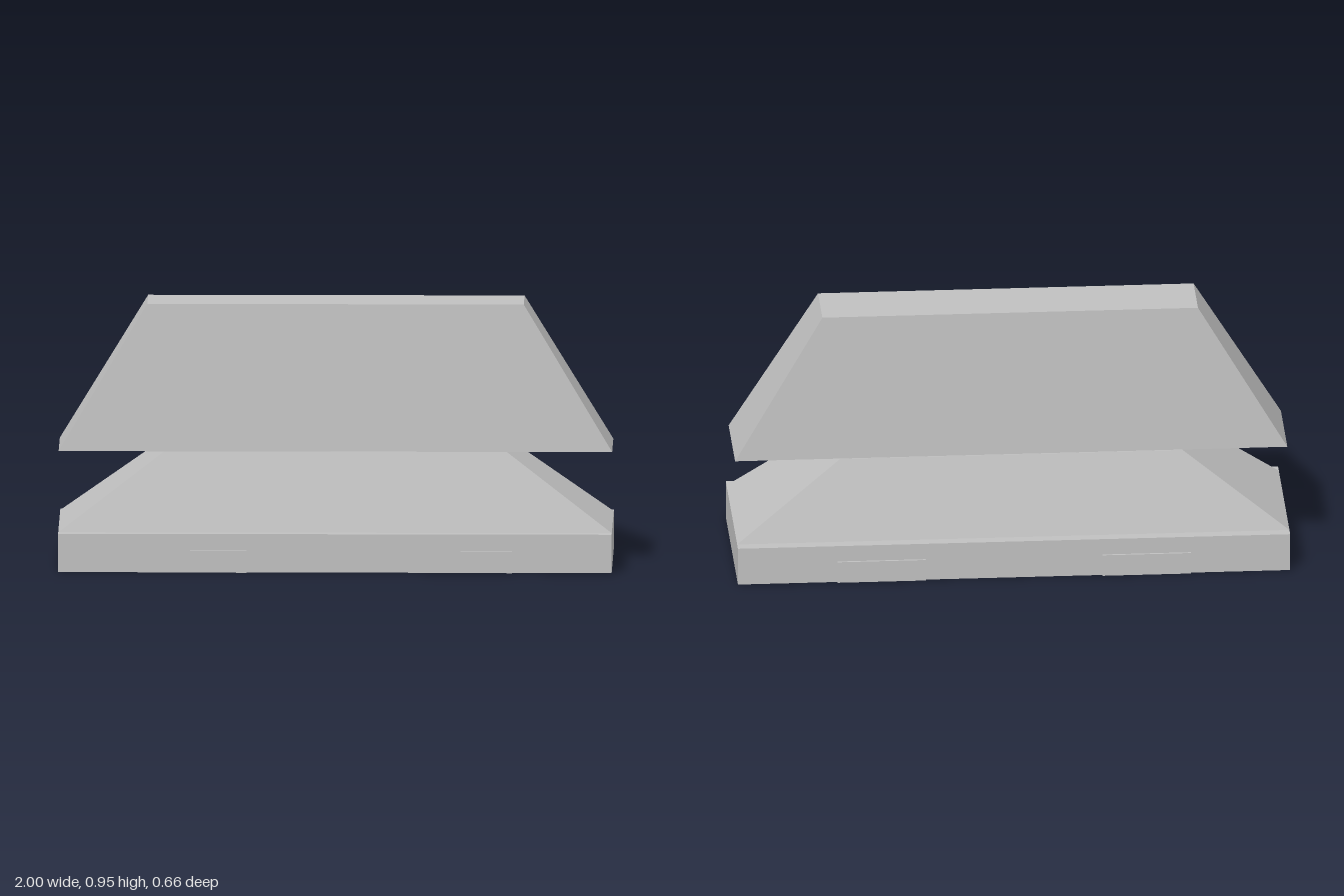
import * as THREE from 'three';

// Box tapered from a bottom half-size to a top half-size between two heights
function frustum(name, material, y0, y1, [bx, bz], [tx, tz]) {
  const geometry = new THREE.BoxGeometry(2, y1 - y0, 2);
  const p = geometry.attributes.position;
  for (let i = 0; i < p.count; i++) {
    const top = p.getY(i) > 0;
    p.setX(i, p.getX(i) * (top ? tx : bx));
    p.setZ(i, p.getZ(i) * (top ? tz : bz));
  }
  geometry.computeVertexNormals();
  const mesh = new THREE.Mesh(geometry, material);
  mesh.name = name;
  mesh.position.y = (y0 + y1) / 2;
  return mesh;
}

export function createModel() {
  const group = new THREE.Group();
  group.name = 'taperedBlock';
  const grey = new THREE.MeshStandardMaterial({ color: 0xc0c0c0 });
  grey.name = 'light grey';

  // Plinth, sloped waist and overhanging upper block
  group.add(
    frustum('base', grey, 0, 0.14, [1, 0.32], [1, 0.32]),
    frustum('waist', grey, 0.14, 0.42, [1, 0.28], [0.62, 0.174]),
    frustum('upperBlock', grey, 0.42, 0.95, [1, 0.17], [0.68, 0.115])
  );

  // Thin pads on the front and back of the base
  for (const x of [-0.48, 0.48]) {
    for (const side of [-1, 1]) {
      const pad = new THREE.Mesh(new THREE.BoxGeometry(0.32, 0.08, 0.008), grey);
      pad.name = side > 0 ? 'frontPad' : 'backPad';
      pad.position.set(x, 0.04, side * 0.324);
      group.add(pad);
    }
  }
  return group;
}
